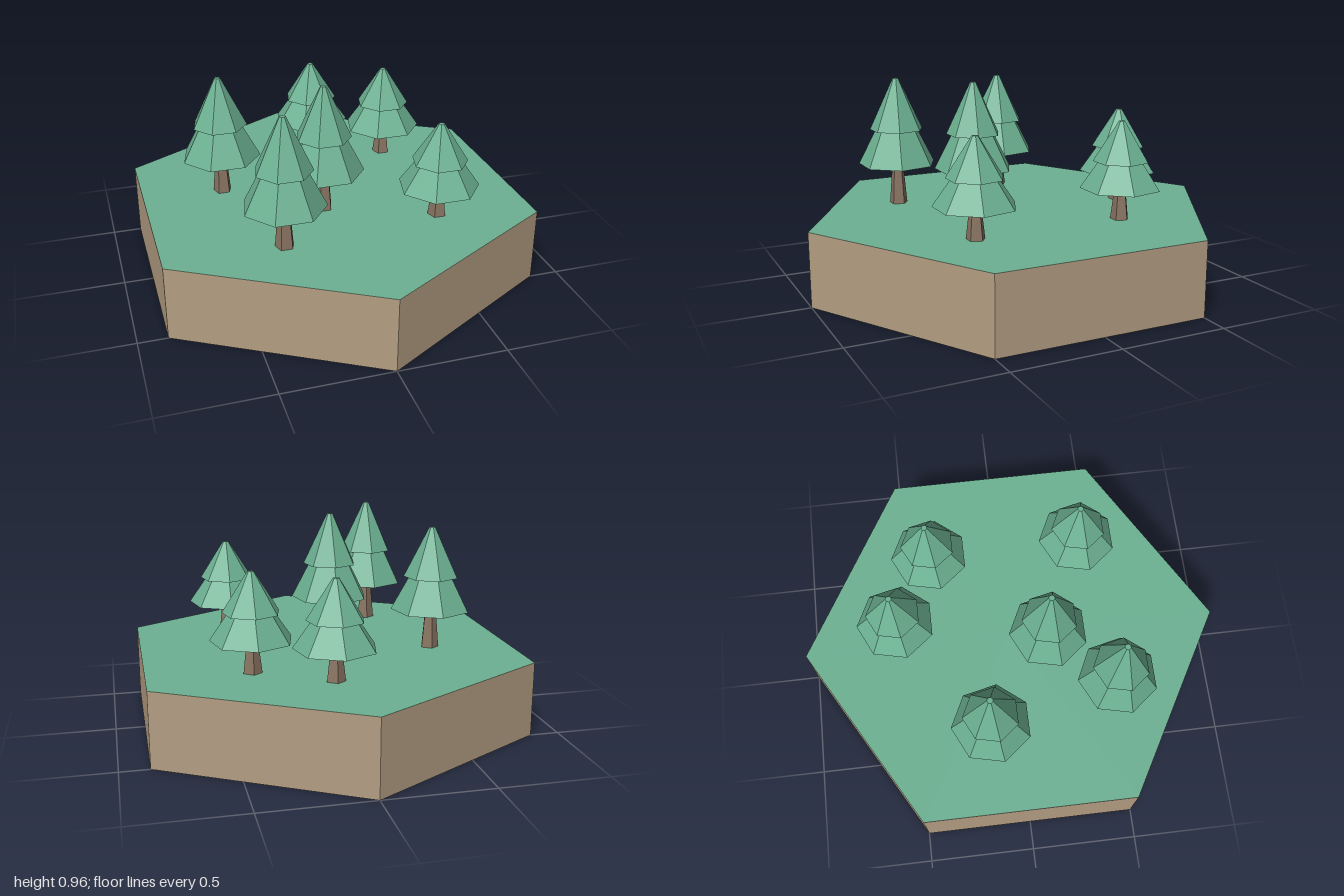
import * as THREE from 'three';

const flat = (name, color) => {
  const m = new THREE.MeshStandardMaterial({ color });
  m.name = name;
  m.flatShading = true;
  return m;
};

const GROUND = 0.35; // height of the grass surface

export function createModel() {
  const grass = flat('leaf green', 0x6cb192);
  const earth = flat('earth brown', 0xb49e83);
  const bark = flat('bark brown', 0x8a7562);

  const model = new THREE.Group();
  model.name = 'forestTile';

  // Hexagonal slab: earth sides and underside, grass on top
  const slab = new THREE.Mesh(new THREE.CylinderGeometry(1, 1, GROUND, 6), [earth, grass, earth]);
  slab.name = 'hexTile';
  slab.position.y = GROUND / 2;
  model.add(slab);

  // Tapered prism from y0 to y1, with one corner pointing to the back
  const tier = (name, material, r0, r1, y0, y1, sides) => {
    const geometry = new THREE.CylinderGeometry(r1, r0, y1 - y0, sides);
    geometry.rotateY(Math.PI);
    const mesh = new THREE.Mesh(geometry, material);
    mesh.name = name;
    mesh.position.y = (y0 + y1) / 2;
    return mesh;
  };

  // Pine of the given height: all trees share widths, only the height varies
  const pine = (h) => {
    const tree = new THREE.Group();
    tree.name = 'pineTree';
    tree.add(
      tier('trunk', bark, 0.044, 0.026, 0, 0.34 * h, 5),
      tier('lowerFoliage', grass, 0.187, 0.1, 0.32 * h, 0.6 * h, 7),
      tier('upperFoliage', grass, 0.129, 0.014, 0.595 * h, h, 7)
    );
    return tree;
  };

  // Trees: x, z, height
  [
    [0.07, -0.54, 0.45],
    [0.4, -0.35, 0.455],
    [-0.485, -0.14, 0.575],
    [-0.07, 0.175, 0.605],
    [-0.33, 0.465, 0.61],
    [0.415, 0.38, 0.45],
  ].forEach(([x, z, h]) => {
    const tree = pine(h);
    tree.position.set(x, GROUND, z);
    model.add(tree);
  });

  return model;
}
